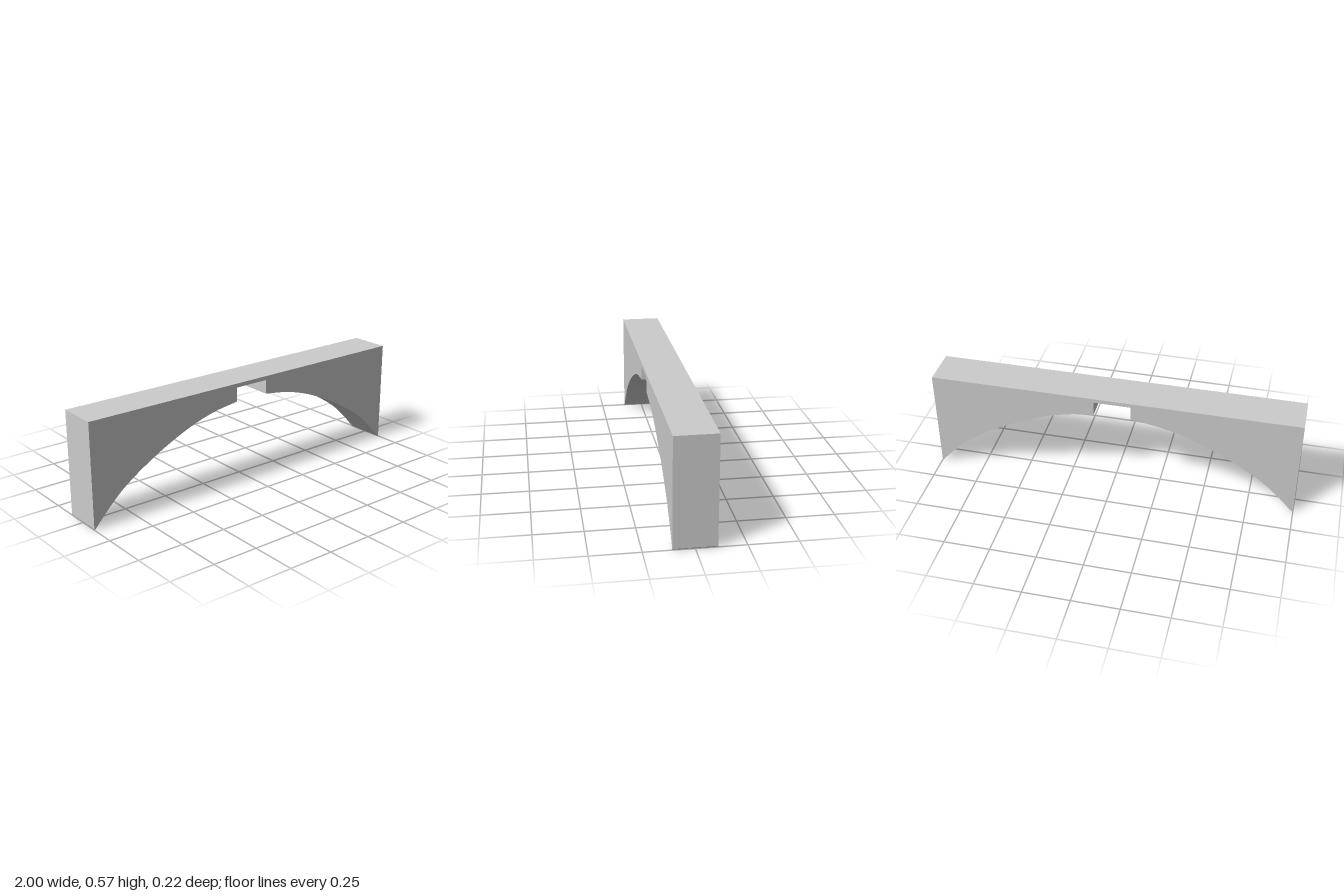
import * as THREE from 'three';
import { toCreasedNormals } from 'three/addons/utils/BufferGeometryUtils.js';

export function createModel() {
  const group = new THREE.Group();
  group.name = 'archedBeam';
  const depth = 0.217, top = 0.57;

  // Half of the arched underside, from the outer foot to the keystone notch
  const arch = new THREE.CatmullRomCurve3([
    [0.997, 0], [0.9, 0.103], [0.8, 0.19], [0.6, 0.312],
    [0.4, 0.403], [0.25, 0.447], [0.1, 0.47],
  ].map(([x, y]) => new THREE.Vector3(x, y, 0)));

  // Right half of the outline: end face, foot, arch, notch
  const half = [
    new THREE.Vector2(1, top),
    new THREE.Vector2(1, 0.005),
    ...arch.getPoints(30).map((p) => new THREE.Vector2(p.x, p.y)),
    new THREE.Vector2(0.1, 0.548),
  ];
  const mirrored = half.map((p) => new THREE.Vector2(-p.x, p.y)).reverse();

  // Solid spandrel beam cut by the arch and notch
  const geometry = new THREE.ExtrudeGeometry(new THREE.Shape([...half, ...mirrored]), {
    depth, bevelEnabled: false,
  });
  geometry.translate(0, 0, -depth / 2);

  const beam = new THREE.Mesh(
    toCreasedNormals(geometry, Math.PI / 6),
    new THREE.MeshStandardMaterial({ color: 0xcccccc }),
  );
  beam.name = 'archBeam';
  group.add(beam);
  return group;
}
